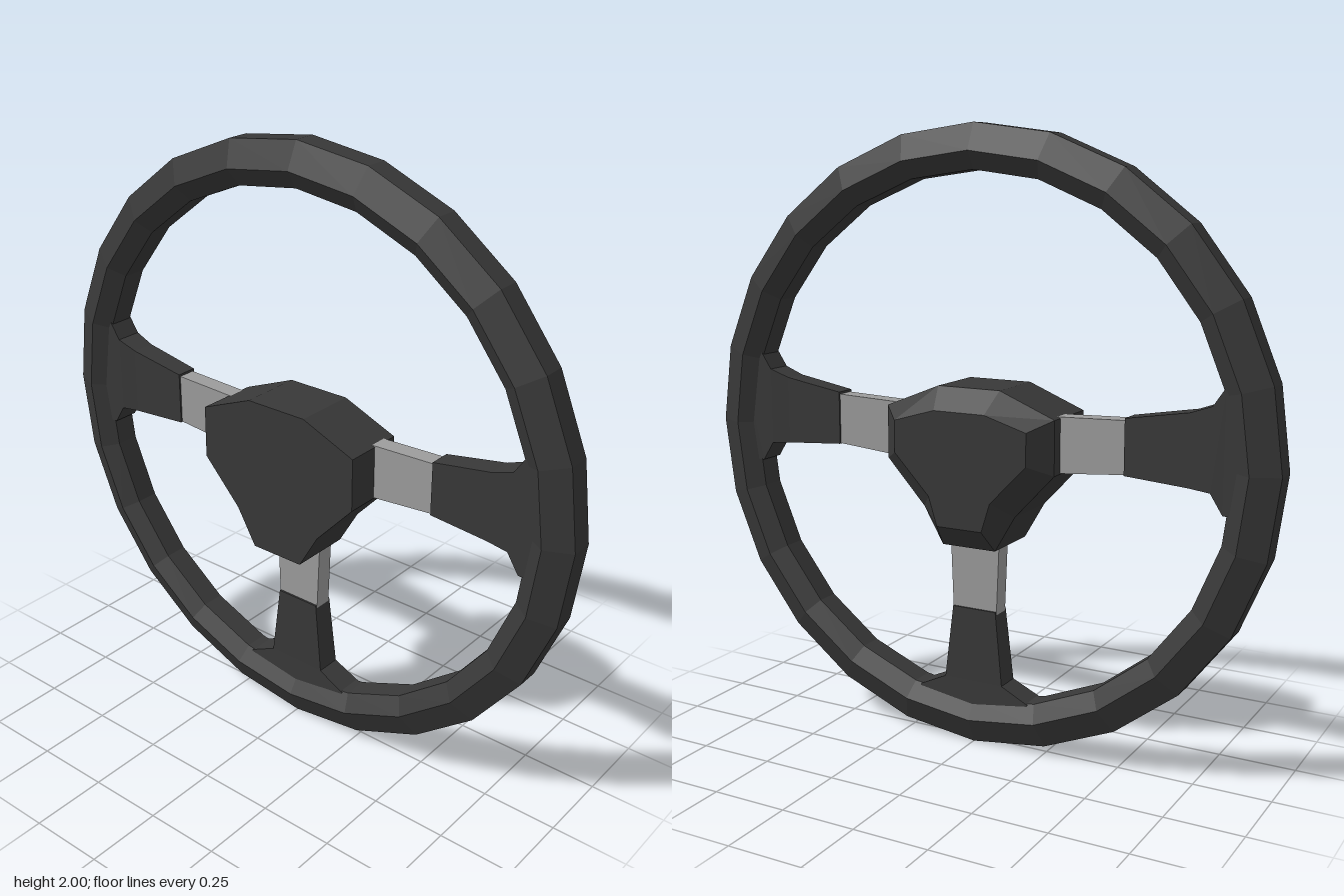
import * as THREE from 'three';

const dark = new THREE.MeshStandardMaterial({ color: 0x383838, flatShading: true });
const metal = new THREE.MeshStandardMaterial({ color: 0x9c9c9c, flatShading: true });

// Faceted solid through equal-length loops of Vector3, capped at both ends
function loft(loops) {
  const tris = [];
  const n = loops[0].length;
  for (let s = 0; s < loops.length - 1; s++) {
    const a = loops[s], b = loops[s + 1];
    for (let i = 0; i < n; i++) {
      const j = (i + 1) % n;
      tris.push([a[i], a[j], b[j]], [a[i], b[j], b[i]]);
    }
  }
  const cap = (loop, flip) => {
    const c = new THREE.Vector3();
    loop.forEach((p) => c.addScaledVector(p, 1 / n));
    for (let i = 0; i < n; i++) {
      const p = loop[i], q = loop[(i + 1) % n];
      tris.push(flip ? [c, q, p] : [c, p, q]);
    }
  };
  cap(loops[0], true);
  cap(loops[loops.length - 1], false);
  // Turn every face outward, whichever way the loops run
  let volume = 0;
  for (const [a, b, c] of tris) volume += a.dot(new THREE.Vector3().crossVectors(b, c));
  const points = tris.flatMap(([a, b, c]) => (volume < 0 ? [a, c, b] : [a, b, c]));
  const g = new THREE.BufferGeometry().setFromPoints(points);
  g.computeVertexNormals();
  return g;
}

// Sections are [distance from centre, lower edge, upper edge, half thickness]
function spokeBar(sections, place) {
  return loft(sections.map(([u, lo, hi, t]) =>
    [[-t, lo], [t, lo], [t, hi], [-t, hi]].map(([x, v]) => place(x, u, v))));
}

export function createModel() {
  const group = new THREE.Group();
  const add = (name, geometry, material) => {
    const mesh = new THREE.Mesh(geometry, material);
    mesh.name = name;
    group.add(mesh);
  };

  // Rim: six-sided section swept round the x axis
  const section = [[1, -0.038], [1, 0.038], [0.915, 0.077], [0.858, 0.04],
    [0.858, -0.04], [0.915, -0.077], [1, -0.038]];
  const rim = new THREE.LatheGeometry(section.map(([r, y]) => new THREE.Vector2(r, y)), 24);
  rim.rotateZ(-Math.PI / 2).translate(0, 1, 0);
  add('rim', rim, dark);

  // Hub: rounded triangular pad, bevelled on the +x side
  const mirrored = (half) => [...half, ...half.map(([z, y]) => [-z, y]).reverse()];
  const outline = mirrored([[0.11, 1.187], [0.3, 1.11], [0.3, 0.935], [0.165, 0.79], [0.095, 0.67]]);
  const face = mirrored([[0.09, 1.118], [0.235, 1.075], [0.235, 0.97], [0.11, 0.84], [0.08, 0.745]]);
  const ring = (pts, x) => pts.map(([z, y]) => new THREE.Vector3(x, y, z));
  add('hub', loft([ring(outline, -0.14), ring(outline, 0.07), ring(face, 0.135)]), dark);

  // Side spokes: metal bar, then a dark sleeve flaring into the rim
  const sideBar = [[0.25, -0.067, 0.113, 0.03], [0.53, -0.043, 0.123, 0.03]];
  const sideSleeve = [[0.515, -0.046, 0.13, 0.036], [0.72, -0.06, 0.165, 0.04],
    [0.79, -0.067, 0.19, 0.045], [0.83, -0.13, 0.25, 0.045], [0.92, -0.13, 0.25, 0.05]];
  for (const [side, s] of [['left', -1], ['right', 1]]) {
    const place = (x, u, v) => new THREE.Vector3(x, 1 + v, s * u);
    add(side + 'SpokeBar', spokeBar(sideBar, place), metal);
    add(side + 'SpokeSleeve', spokeBar(sideSleeve, place), dark);
  }

  // Lower spoke
  const lowerBar = [[0.28, -0.09, 0.09, 0.03], [0.56, -0.079, 0.079, 0.03]];
  const lowerSleeve = [[0.545, -0.078, 0.078, 0.036], [0.79, -0.105, 0.105, 0.042],
    [0.835, -0.2, 0.2, 0.045], [0.92, -0.2, 0.2, 0.05]];
  const down = (x, u, v) => new THREE.Vector3(x, 1 - u, v);
  add('lowerSpokeBar', spokeBar(lowerBar, down), metal);
  add('lowerSpokeSleeve', spokeBar(lowerSleeve, down), dark);

  return group;
}
